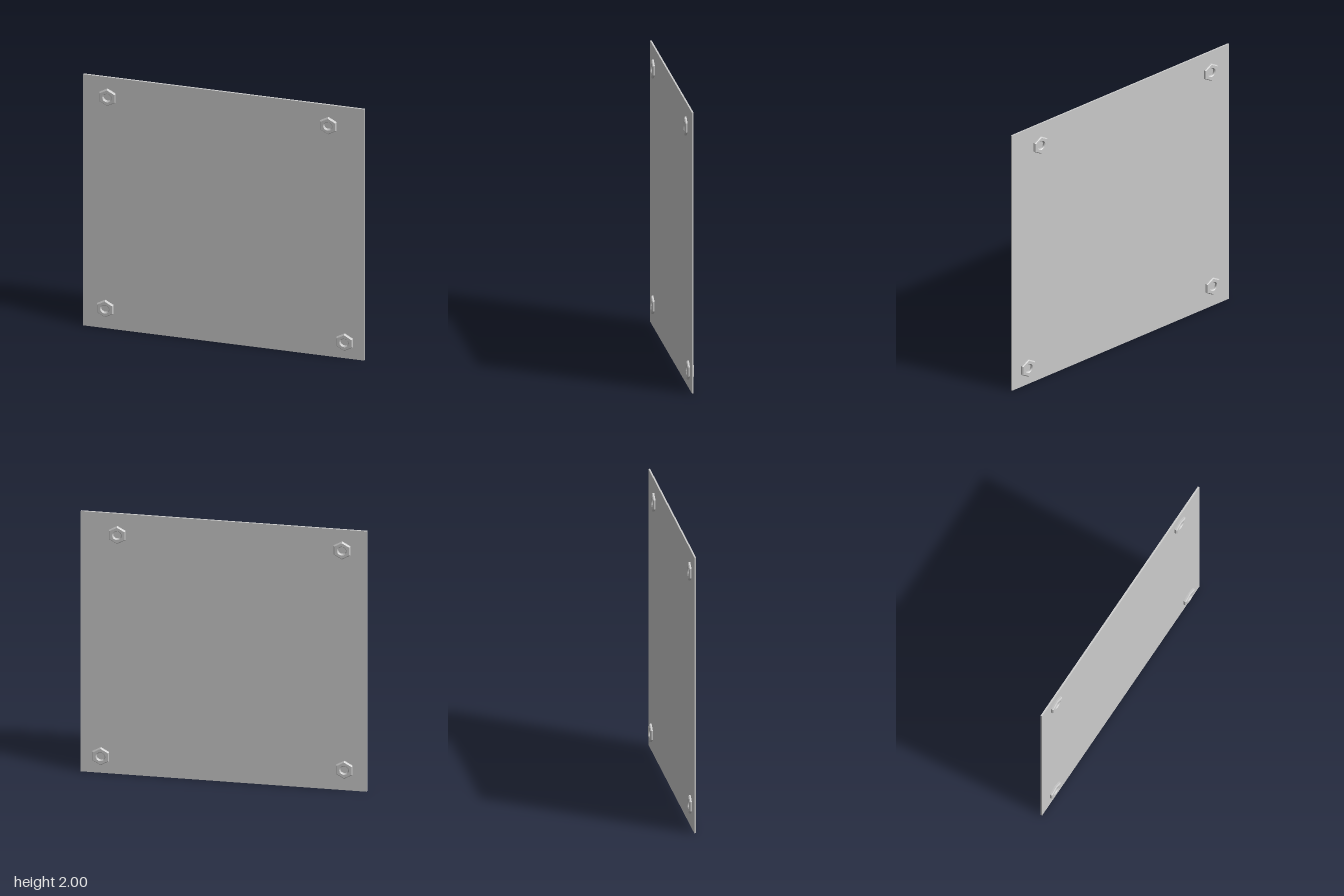
import * as THREE from 'three';

const material = new THREE.MeshStandardMaterial({ color: 0xcccccc });

// Hexagonal nut with chamfered edges and a round bore, centred on its own middle
function makeNutGeometry(radius, bore, thickness, chamfer) {
  const hex = new THREE.Shape();
  for (let i = 0; i < 6; i++) {
    const a = Math.PI / 2 + (i * Math.PI) / 3;
    const x = radius * Math.cos(a), y = radius * Math.sin(a);
    if (i === 0) hex.moveTo(x, y);
    else hex.lineTo(x, y);
  }
  hex.closePath();
  hex.holes.push(new THREE.Path().absarc(0, 0, bore, 0, Math.PI * 2, true));
  const geometry = new THREE.ExtrudeGeometry(hex, {
    depth: thickness - 2 * chamfer,
    bevelEnabled: true,
    bevelThickness: chamfer,
    bevelSize: chamfer,
    bevelOffset: -chamfer,
    bevelSegments: 1,
    curveSegments: 14,
  });
  geometry.translate(0, 0, -thickness / 2 + chamfer);
  return geometry;
}

export function createModel() {
  const model = new THREE.Group();
  model.name = 'platedPanel';

  // Thin square sheet
  const panel = new THREE.Mesh(new THREE.BoxGeometry(2, 2, 0.012), material);
  panel.name = 'panel';
  panel.position.y = 1;
  model.add(panel);

  // Nuts near the corners, standing proud of both faces
  const nutGeometry = makeNutGeometry(0.067, 0.028, 0.047, 0.006);
  const nuts = [
    ['nutTopRight', -0.826, 1.844],
    ['nutTopLeft', 0.744, 1.839],
    ['nutBottomRight', -0.842, 0.16],
    ['nutBottomLeft', 0.859, 0.131],
  ];
  for (const [name, x, y] of nuts) {
    const nut = new THREE.Mesh(nutGeometry, material);
    nut.name = name;
    nut.position.set(x, y, 0);
    model.add(nut);
  }
  return model;
}
